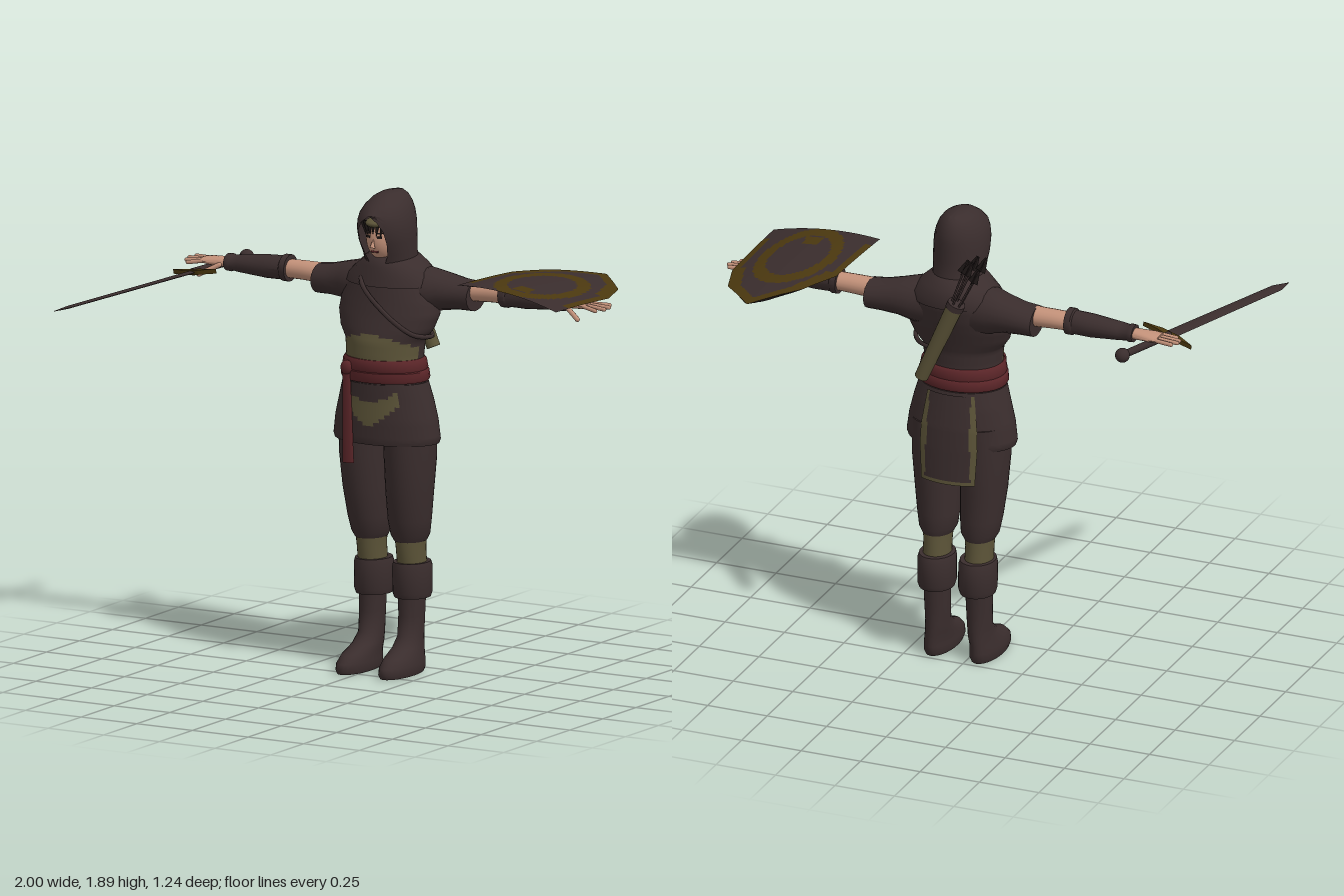
import * as THREE from 'three';
import { toCreasedNormals } from 'three/addons/utils/BufferGeometryUtils.js';

const paint = (name, color, side = THREE.FrontSide) => {
  const m = new THREE.MeshStandardMaterial({ color, side });
  m.name = name;
  return m;
};
const cloth = paint('dark brown cloth', 0x3a2d2d, THREE.DoubleSide);
const olive = paint('olive cloth', 0x5c5438, THREE.DoubleSide);
const red = paint('red sash', 0x5a2528);
const skin = paint('skin', 0xc4927a);
const gold = paint('dull gold', 0x4b380f);
const black = paint('near black', 0x211a19, THREE.DoubleSide);

// Surface from f(u, v); pick(point) chooses the material index of each cell.
function grid(nu, nv, f, mats, pick = () => 0) {
  const pos = [], lists = mats.map(() => []);
  for (let j = 0; j <= nv; j++) for (let i = 0; i <= nu; i++) pos.push(...f(i / nu, j / nv));
  for (let j = 0; j < nv; j++) for (let i = 0; i < nu; i++) {
    const a = j * (nu + 1) + i, d = a + nu + 1;
    lists[pick(f((i + 0.5) / nu, (j + 0.5) / nv))].push(a, a + 1, d, a + 1, d + 1, d);
  }
  const g = new THREE.BufferGeometry();
  g.setAttribute('position', new THREE.Float32BufferAttribute(pos, 3));
  g.setIndex(lists.flat());
  let start = 0;
  lists.forEach((l, i) => { g.addGroup(start, l.length, i); start += l.length; });
  return new THREE.Mesh(toCreasedNormals(g, 0.9), mats.length > 1 ? mats : mats[0]);
}

// Elliptical rings [y, centreX, centreZ, radiusX, radiusZ, frontGap] joined along y.
function loft(name, rings, mats, { seg = 28, sub = 1, open = false, pick } = {}) {
  const r = rings.map(q => [...q, 0].slice(0, 6));
  if (!open) {
    const flat = q => [q[0], q[1], q[2], 0, 0, q[5]];
    r.unshift(flat(r[0]));
    r.push(flat(r[r.length - 1]));
  }
  const n = r.length - 1;
  const m = grid(seg, n * sub, (u, v) => {
    const k = Math.min(Math.floor(v * n + 1e-6), n - 1), t = v * n - k;
    const [y, cx, cz, rx, rz, gap] = r[k].map((q, i) => q + (r[k + 1][i] - q) * t);
    const a = gap + u * 2 * (Math.PI - gap);
    return [cx + rx * Math.sin(a), y, cz + rz * Math.cos(a)];
  }, Array.isArray(mats) ? mats : [mats], pick);
  m.name = name;
  return m;
}
// [y, halfWidth, frontZ, backZ, gap] to a ring
const body = ([y, w, f, b, gap = 0]) => [y, 0, (f + b) / 2, w, (f - b) / 2, gap];

function mesh(name, geo, mat, p = [0, 0, 0], r = [0, 0, 0], s = [1, 1, 1]) {
  const m = new THREE.Mesh(geo, mat);
  m.name = name;
  m.position.set(...p); m.rotation.set(...r); m.scale.set(...s);
  return m;
}
function group(name, ...parts) {
  const g = new THREE.Group();
  g.name = name;
  if (parts.length) g.add(...parts);
  return g;
}
function rod(name, a, b, r, mat) {
  const A = new THREE.Vector3(...a), d = new THREE.Vector3(...b).sub(A);
  const m = mesh(name, new THREE.CapsuleGeometry(r, d.length(), 3, 8), mat);
  m.position.copy(A).addScaledVector(d, 0.5);
  m.quaternion.setFromUnitVectors(new THREE.Vector3(0, 1, 0), d.normalize());
  return m;
}

function arm(side) {
  // rings are [x, y, z, radiusY, radiusZ] running outwards
  const along = (name, rings, mat) => {
    const m = loft(name, rings.map(([x, y, z, a, b]) => [x, -y, z, a, b]), mat, { seg: 18 });
    m.rotation.z = -Math.PI / 2;
    return m;
  };
  const g = group(side + 'Arm',
    along('sleeve', [[0.08, 1.49, -0.2, 0.1, 0.1], [0.16, 1.5, -0.21, 0.09, 0.1], [0.22, 1.502, -0.22, 0.074, 0.085],
      [0.29, 1.497, -0.225, 0.062, 0.078], [0.35, 1.494, -0.225, 0.059, 0.075]], cloth),
    along('upperArm', [[0.32, 1.513, -0.222, 0.04, 0.046], [0.42, 1.516, -0.222, 0.038, 0.042], [0.5, 1.516, -0.22, 0.036, 0.04]], skin),
    along('bracer', [[0.48, 1.518, -0.22, 0.053, 0.054], [0.505, 1.518, -0.22, 0.053, 0.054], [0.51, 1.517, -0.22, 0.047, 0.048],
      [0.58, 1.515, -0.22, 0.046, 0.05], [0.7, 1.513, -0.22, 0.035, 0.042], [0.735, 1.513, -0.22, 0.031, 0.037],
      [0.74, 1.513, -0.22, 0.035, 0.041], [0.76, 1.513, -0.22, 0.034, 0.04]], cloth),
    along('palm', [[0.74, 1.513, -0.22, 0.022, 0.028], [0.78, 1.513, -0.22, 0.02, 0.034], [0.83, 1.513, -0.22, 0.017, 0.043],
      [0.865, 1.513, -0.22, 0.012, 0.042]], skin),
    rod('thumb', [0.78, 1.505, -0.185], [0.85, 1.467, -0.15], 0.01, skin));
  [0.928, 0.942, 0.938, 0.915].forEach((x, i) =>
    g.add(rod('finger', [0.855, 1.513, -0.252 + i * 0.022], [x, 1.512 - 0.003 * i, -0.262 + i * 0.029], 0.0085, skin)));
  return g;
}

function leg(side) {
  return group(side + 'Leg',
    loft('trouserLeg', [[0.515, 0.088, -0.172, 0.06, 0.075], [0.54, 0.088, -0.17, 0.074, 0.085], [0.6, 0.09, -0.162, 0.082, 0.095],
      [0.72, 0.096, -0.152, 0.09, 0.108], [0.85, 0.1, -0.15, 0.096, 0.122], [1, 0.1, -0.145, 0.098, 0.125]], cloth),
    loft('kneeWrap', [[0.4, 0.088, -0.185, 0.055, 0.066], [0.48, 0.088, -0.175, 0.054, 0.07], [0.55, 0.088, -0.17, 0.06, 0.072]], olive),
    loft('bootCuff', [[0.29, 0.086, -0.19, 0.068, 0.08], [0.31, 0.086, -0.19, 0.074, 0.088], [0.41, 0.086, -0.188, 0.074, 0.09],
      [0.43, 0.086, -0.186, 0.069, 0.084]], cloth),
    loft('boot', [[0, 0.096, -0.092, 0.056, 0.138], [0.015, 0.096, -0.092, 0.061, 0.147], [0.04, 0.096, -0.095, 0.06, 0.145],
      [0.07, 0.094, -0.113, 0.056, 0.125], [0.1, 0.09, -0.15, 0.051, 0.088], [0.14, 0.088, -0.173, 0.048, 0.062],
      [0.22, 0.088, -0.18, 0.051, 0.055], [0.31, 0.088, -0.182, 0.054, 0.058]], cloth));
}

function torso() {
  const skirt = loft('tunicSkirt', [[0.91, 0.22, 0, -0.285], [0.925, 0.225, 0.003, -0.289], [1, 0.215, 0.005, -0.287],
    [1.08, 0.195, 0.003, -0.28], [1.15, 0.175, 0.005, -0.268]].map(body), [cloth, olive], { seg: 56, sub: 5,
    pick: ([x, y, z]) => +(z > -0.1 && y > 0.99 + 5.5 * x * x && y < 1.08 + 4 * x * x && Math.abs(x) < 0.12) });
  const upper = loft('tunicTop', [[1.13, 0.172, 0, -0.265], [1.25, 0.157, 0.003, -0.258], [1.31, 0.163, 0, -0.262],
    [1.355, 0.195, -0.012, -0.276], [1.41, 0.213, -0.028, -0.295], [1.46, 0.21, -0.04, -0.312], [1.52, 0.19, -0.052, -0.328],
    [1.57, 0.165, -0.062, -0.328], [1.605, 0.125, -0.075, -0.31]].map(body), [cloth, olive], { seg: 56, sub: 4,
    pick: ([x, y, z]) => +(z > -0.12 && y < 1.34 - 1.8 * x * x && y > 1.23) });
  const a = Math.PI - 0.58;
  const panel = loft('backPanel', [[0.775, 0.205, 0, -0.308, a], [0.92, 0.22, 0.005, -0.302, a], [1.0, 0.215, 0.005, -0.297, a],
    [1.14, 0.18, 0.005, -0.276, a]].map(body), [cloth, olive], { seg: 28, sub: 10, open: true,
    pick: ([x, y]) => +(Math.abs(x) > 0.09 + 0.03 * (1 - y) || y < 0.79) });
  return group('torso', skirt, upper, panel,
    loft('mantle', [[1.525, 0.192, -0.04, -0.335], [1.56, 0.18, -0.048, -0.337], [1.6, 0.135, -0.055, -0.325], [1.63, 0.1, -0.065, -0.3],
      [1.65, 0.07, -0.09, -0.27]].map(body), cloth),
    loft('lowerSash', [[1.155, 0.177, 0.01, -0.272], [1.165, 0.182, 0.015, -0.276], [1.195, 0.178, 0.015, -0.273], [1.2, 0.17, 0.008, -0.268]].map(body), red),
    loft('upperSash', [[1.195, 0.17, 0.01, -0.268], [1.205, 0.174, 0.015, -0.271], [1.235, 0.168, 0.014, -0.268], [1.245, 0.16, 0.008, -0.26]].map(body), red),
    mesh('sashKnot', new THREE.SphereGeometry(0.026, 12, 8), red, [-0.1, 1.205, -0.004], [0, 0, 0], [1, 1.1, 0.7]),
    mesh('sashTail', new THREE.CylinderGeometry(0.017, 0.026, 0.37, 12), red, [-0.097, 1.015, -0.004], [0, 0, 0.02], [1, 1, 0.4]));
}

function head() {
  const hood = loft('hood', [[1.6, 0.1, -0.065, -0.3, 0.3], [1.65, 0.1, -0.045, -0.286, 0.52], [1.7, 0.105, -0.015, -0.285, 0.6],
    [1.75, 0.105, 0.003, -0.286, 0.55], [1.785, 0.101, 0.003, -0.286, 0.35], [1.81, 0.094, -0.003, -0.284, 0], [1.84, 0.08, -0.035, -0.275, 0],
    [1.865, 0.06, -0.075, -0.262, 0], [1.88, 0.035, -0.11, -0.245, 0], [1.886, 0, -0.18, -0.18, 0]].map(body), cloth, { seg: 32, open: true });
  const g = group('head', hood,
    mesh('face', new THREE.SphereGeometry(1, 28, 20), skin, [0, 1.715, -0.13], [0, 0, 0], [0.068, 0.1, 0.095]),
    mesh('neck', new THREE.CylinderGeometry(0.05, 0.055, 0.12, 16), skin, [0, 1.61, -0.16]),
    mesh('nose', new THREE.ConeGeometry(0.011, 0.04, 8), skin, [0, 1.7, -0.034], [-0.2, 0, 0]),
    mesh('mouth', new THREE.BoxGeometry(0.03, 0.007, 0.006), red, [0, 1.663, -0.05]),
    mesh('headband', new THREE.SphereGeometry(1, 20, 12), olive, [0, 1.775, -0.1], [0, 0, 0], [0.055, 0.022, 0.085]));
  for (const s of [-1, 1]) {
    g.add(mesh('eye', new THREE.BoxGeometry(0.02, 0.008, 0.006), black, [s * 0.025, 1.722, -0.042], [0, s * 0.3, 0]),
      mesh('eyebrow', new THREE.BoxGeometry(0.026, 0.005, 0.006), black, [s * 0.026, 1.738, -0.045], [0, s * 0.3, s * 0.15]));
  }
  // pointed locks of fringe
  for (let i = -3; i <= 3; i++) g.add(mesh('hairLock', new THREE.ConeGeometry(0.012, 0.05 + 0.012 * Math.abs(i), 6), black,
    [i * 0.016, 1.755 - 0.004 * Math.abs(i), -0.035 - 0.0025 * i * i], [Math.PI, 0, i * 0.1], [1, 1, 0.5]));
  return g;
}

function quiver() {
  const g = group('quiver',
    mesh('quiverTube', new THREE.CylinderGeometry(0.034, 0.027, 0.36, 18), olive),
    mesh('quiverRim', new THREE.CylinderGeometry(0.036, 0.036, 0.025, 18), cloth, [0, 0.175, 0]));
  for (let i = 0; i < 5; i++) {
    const a = i * 1.257, x = Math.cos(a), z = Math.sin(a), top = 0.37 + 0.02 * (i % 3);
    g.add(rod('arrowShaft', [x * 0.015, 0.1, z * 0.015], [x * 0.032, top, z * 0.032], 0.004, cloth));
    for (const r of [0, Math.PI / 2])
      g.add(mesh('fletching', new THREE.CylinderGeometry(0.006, 0.022, 0.065, 4), black, [x * 0.031, top - 0.02, z * 0.031], [0, r, 0], [1, 1, 0.12]));
  }
  g.position.set(0.005, 1.405, -0.363);
  g.rotation.z = 0.415;
  return g;
}

function sword() {
  const forward = m => { m.rotation.x = Math.PI / 2; return m; };
  const guard = new THREE.Shape([[-0.12, -0.012], [-0.04, 0.012], [0.04, 0.012], [0.12, -0.012], [0.05, -0.014], [0, -0.022], [-0.05, -0.014]]
    .map(p => new THREE.Vector2(...p)));
  const g = group('sword',
    forward(loft('blade', [[0, 0, 0, 0.027, 0.007], [0.68, 0, 0, 0.023, 0.006], [0.755, 0, 0, 0.001, 0.001]], cloth, { seg: 4 })),
    forward(mesh('crossguard', new THREE.ExtrudeGeometry(guard, { depth: 0.018, bevelEnabled: false }), gold, [0, 0.009, 0])),
    forward(mesh('grip', new THREE.CylinderGeometry(0.015, 0.015, 0.28, 12), cloth, [0, 0, -0.14])),
    mesh('pommel', new THREE.SphereGeometry(0.029, 16, 12), cloth, [0, 0, -0.295]));
  g.position.set(-0.81, 1.481, -0.115);
  g.lookAt(-1, 1.435, 0.615);
  g.rotateZ(0.15);
  return g;
}

function shield() {
  // outline rows: [z, leftX, rightX]
  const rows = [[0.06, 0.475, 0.935], [-0.32, 0.5, 0.942], [-0.47, 0.58, 0.895], [-0.625, 0.742, 0.748]];
  const edge = z => {
    let k = 0;
    while (k < 2 && z < rows[k + 1][0]) k++;
    const t = (z - rows[k][0]) / (rows[k + 1][0] - rows[k][0]);
    return [1, 2].map(i => rows[k][i] + (rows[k + 1][i] - rows[k][i]) * t);
  };
  const surface = depth => (u, v) => {
    const z = 0.06 - 0.685 * v, [l, r] = edge(z), x = l + (r - l) * u, p = (x - 0.475) / 0.465;
    const thick = depth * Math.min(1, 12 * Math.min(u, 1 - u, v, 1 - v));
    return [x, 1.592 - 0.055 * p + 0.088 * p * (1 - p) - 0.035 * v * v - thick, z + 0.03 * (u - 0.5) * (1 - v)];
  };
  // gold border and arched band on a brown field
  const front = grid(48, 60, surface(0), [cloth, gold], ([x, , z]) => {
    const [l, r] = edge(Math.min(z, 0.06)), dx = Math.abs(x - 0.717);
    const e = Math.hypot(dx / 0.145, (z + 0.19) / 0.235);
    const border = Math.min(x - l, r - x) < (z < -0.3 ? 0.055 : 0.028) && z < -0.02;
    const cross = dx < 0.035 && z > -0.09 && z < -0.02;
    return +(border || cross || (e > 0.78 && e < 1.08));
  });
  front.name = 'shieldFace';
  const under = surface(0.014), back = grid(24, 30, (u, v) => under(1 - u, v), [black]);
  back.name = 'shieldBack';
  return group('shield', front, back, rod('shieldStrap', [0.7, 1.565, -0.28], [0.7, 1.565, -0.16], 0.012, black));
}

export function createModel() {
  const right = group('rightLimbs', arm('right'), leg('right'));
  right.scale.x = -1;
  const strap = new THREE.CatmullRomCurve3([[-0.09, 1.6, -0.2], [-0.06, 1.54, -0.047], [0.05, 1.43, -0.033], [0.16, 1.35, -0.06],
    [0.19, 1.33, -0.15], [0.13, 1.33, -0.25], [0.03, 1.36, -0.315], [-0.06, 1.52, -0.342]].map(p => new THREE.Vector3(...p)), true);
  const figure = group('figure', torso(), head(), group('leftLimbs', arm('left'), leg('left')), right, quiver(),
    mesh('quiverStrap', new THREE.TubeGeometry(strap, 60, 0.009, 6, true), cloth));
  figure.position.x = 0.048;
  return group('hoodedArcher', figure, sword(), shield());
}
